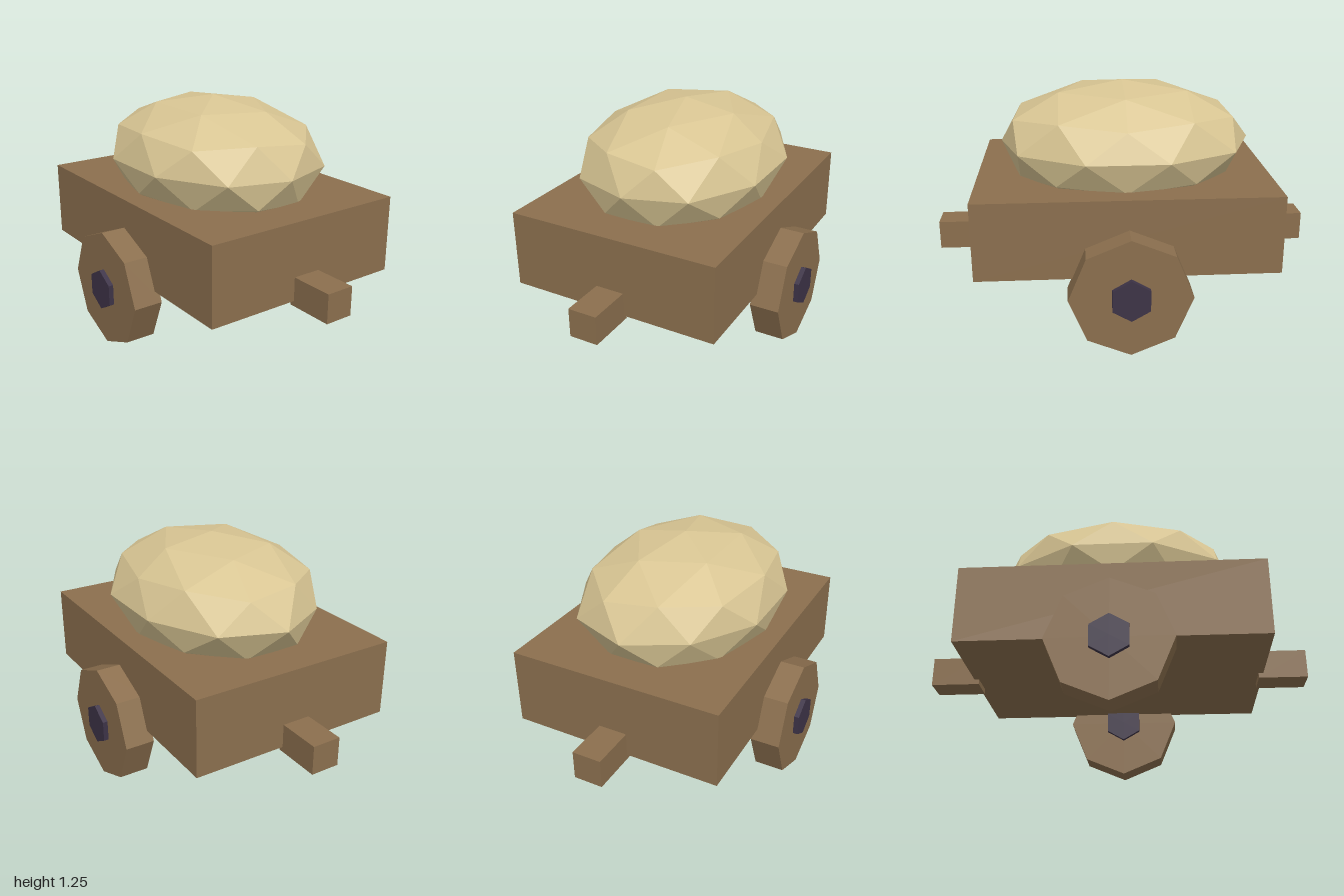
import * as THREE from 'three';

const material = (color) => new THREE.MeshStandardMaterial({ color, flatShading: true });

// Faceted load: a pole-up icosphere, squashed and slightly uneven
function loadGeometry() {
  const geo = new THREE.IcosahedronGeometry(1, 1);
  geo.rotateX(-Math.atan((1 + Math.sqrt(5)) / 2));
  geo.rotateY(Math.PI / 2);
  const pos = geo.attributes.position;
  for (let i = 0; i < pos.count; i++) {
    const x = pos.getX(i), y = pos.getY(i), z = pos.getZ(i);
    let k = 1;
    if (z > 0.99) k = 0.96; // front tip is blunter
    else if (z < -0.99) k = 1.015; // back tip is sharper
    else if (x > 0.88 && y > 0.4) k = 0.93; // dent on the left shoulder
    else if (x < -0.5 && z < -0.8 && Math.abs(y) < 0.01) k = 0.965;
    else if (x > 0.5 && z < -0.8 && Math.abs(y) < 0.01) k = 1.03;
    pos.setXYZ(i, x * k * 0.525, y * 0.32, z * k * 0.672);
  }
  geo.computeVertexNormals();
  return geo;
}

export function createModel() {
  const group = new THREE.Group();
  const wood = material(0x8b6f4e);
  const hubDark = material(0x3d3347);
  const straw = material(0xd8c593);

  const add = (name, geo, mat, x, y, z) => {
    const mesh = new THREE.Mesh(geo, mat);
    mesh.name = name;
    mesh.position.set(x, y, z);
    group.add(mesh);
  };

  // Cart body and the heaped load
  add('cartBody', new THREE.BoxGeometry(1.13, 0.406, 1.54), wood, 0, 0.567, 0);
  add('load', loadGeometry(), straw, 0, 0.925, 0);

  // Shaft stubs at front and back
  const shaft = new THREE.BoxGeometry(0.152, 0.152, 0.255);
  add('frontShaft', shaft, wood, 0, 0.413, 0.8725);
  add('backShaft', shaft, wood, 0, 0.413, -0.8725);

  // Octagonal wheels with hexagonal hubs, corners pointing up
  const wheel = new THREE.CylinderGeometry(0.308, 0.308, 0.154, 8).rotateZ(Math.PI / 2);
  const hub = new THREE.CylinderGeometry(0.108, 0.108, 0.205, 6, 1, false, Math.PI / 2).rotateZ(Math.PI / 2);
  for (const [side, s] of [['left', 1], ['right', -1]]) {
    add(side + 'Wheel', wheel, wood, s * 0.617, 0.308, 0);
    add(side + 'Hub', hub, hubDark, s * 0.617, 0.308, 0);
  }
  return group;
}
